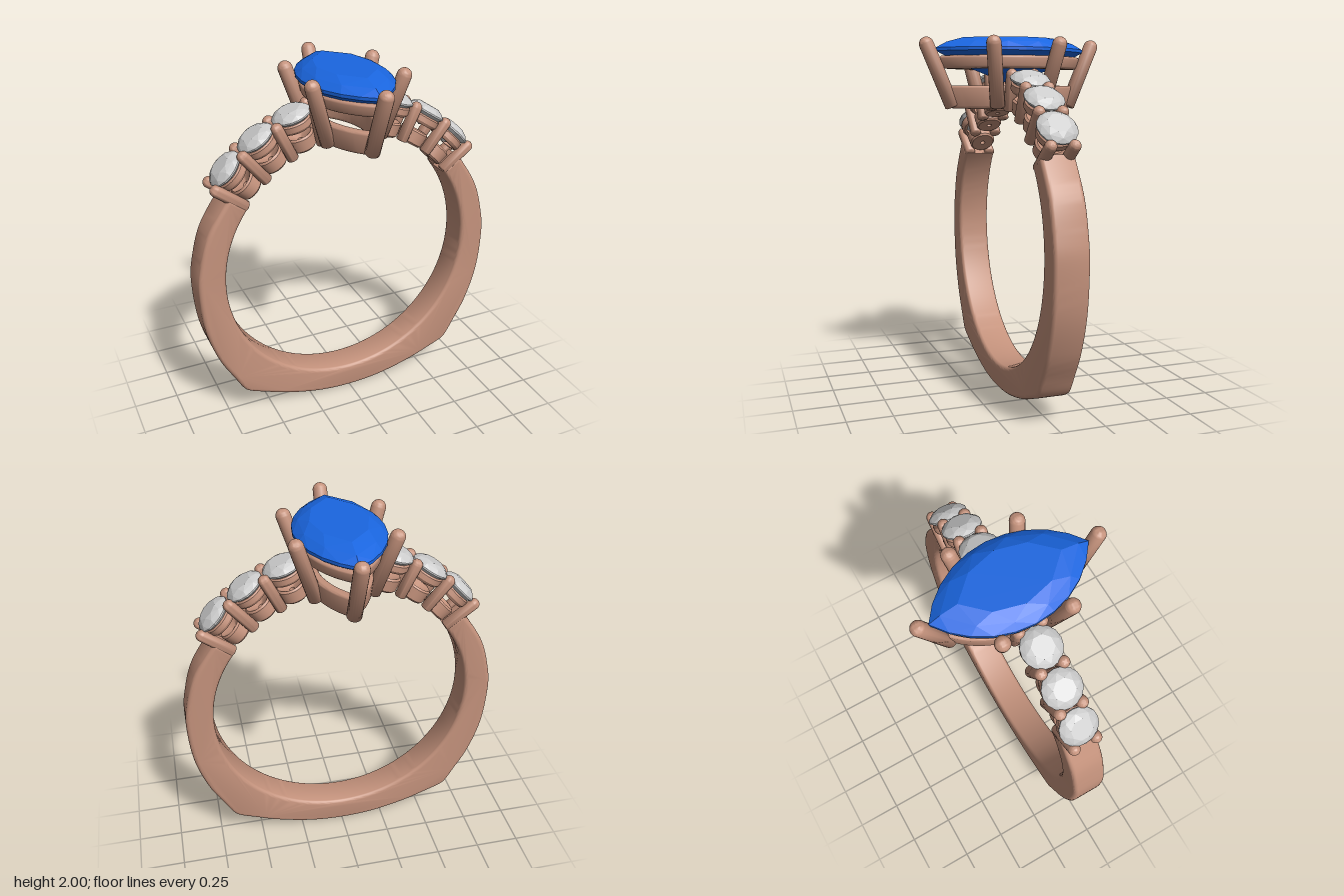
import * as THREE from 'three';
import { toCreasedNormals } from 'three/addons/utils/BufferGeometryUtils.js';
import { ConvexGeometry } from 'three/addons/geometries/ConvexGeometry.js';

const metal = new THREE.MeshStandardMaterial({ color: 0xc4927c });
const blue = new THREE.MeshStandardMaterial({ color: 0x1a66e0, flatShading: true });
const clear = new THREE.MeshStandardMaterial({ color: 0xcccccc, flatShading: true });

const CY = 0.885, INNER = 0.73, END = 37 * Math.PI / 180;
const V = (x, y, z) => new THREE.Vector3(x, y, z);

function add(parent, name, geometry, material) {
  const mesh = new THREE.Mesh(geometry, material);
  mesh.name = name;
  parent.add(mesh);
  return mesh;
}

// Straight wire with a domed tip at b
function prong(parent, name, a, b, r) {
  const h = a.distanceTo(b);
  const profile = [new THREE.Vector2(0, 0), new THREE.Vector2(r * 0.85, 0), new THREE.Vector2(r, r * 0.15)];
  for (let i = 0; i <= 8; i++) {
    const t = i / 8 * Math.PI / 2;
    profile.push(new THREE.Vector2(r * Math.cos(t), h + r * Math.sin(t)));
  }
  const mesh = add(parent, name, toCreasedNormals(new THREE.LatheGeometry(profile, 20), 0.9), metal);
  mesh.position.copy(a);
  mesh.quaternion.setFromUnitVectors(V(0, 1, 0), b.clone().sub(a).normalize());
}

// Pointed oval outline made of two arcs, half width w and half length l
function marquise(w, l, n) {
  const R = (l * l + w * w) / (2 * w), half = Math.asin(l / R), pts = [];
  for (const s of [1, -1]) {
    for (let i = 0; i < n; i++) {
      const t = -half + 2 * half * i / n;
      pts.push(new THREE.Vector2(s * (R * Math.cos(t) - (R - w)), s * R * Math.sin(t)));
    }
  }
  return pts;
}

// Pointed oval rail with an opening, flaring outward toward the top
function rail(parent, name, w, l, wall, y0, y1, flare) {
  const bevel = 0.015, h = y1 - y0;
  const shape = new THREE.Shape(marquise(w, l, 28));
  shape.holes.push(new THREE.Path(marquise(w - wall, l - wall * 1.5, 28)));
  const geo = new THREE.ExtrudeGeometry(shape, {
    depth: h - 2 * bevel, bevelEnabled: true, bevelSize: bevel,
    bevelThickness: bevel, bevelOffset: -bevel, bevelSegments: 3,
  });
  geo.rotateX(-Math.PI / 2);
  geo.translate(0, y0 + bevel, 0);
  const p = geo.attributes.position;
  for (let i = 0; i < p.count; i++) {
    const s = 1 + flare * (p.getY(i) - y0) / h;
    p.setX(i, p.getX(i) * s);
    p.setZ(i, p.getZ(i) * s);
  }
  add(parent, name, toCreasedNormals(geo, 0.7), metal);
}

// Shank: round inside, squared-off base outside, open at the top
function shank(parent) {
  const side = [[0.687, 1.403], [0.81, 1.21], [0.868, 1.02], [0.885, 0.87], [0.865, 0.63], [0.8, 0.42],
    [0.72, 0.27], [0.672, 0.187], [0.635, 0.155], [0.55, 0.12], [0.4, 0.065], [0.2, 0.018]];
  const pts = [...side, [0, 0.003], ...side.slice().reverse().map(([x, y]) => [-x, y])]
    .map(([x, y]) => new THREE.Vector2(x, y));
  const outline = new THREE.SplineCurve(pts).getPoints(160);
  for (let i = 0; i <= 120; i++) {
    const a = Math.PI - END + (Math.PI + 2 * END) * i / 120;
    outline.push(new THREE.Vector2(INNER * Math.cos(a), CY + INNER * Math.sin(a)));
  }
  const geo = new THREE.ExtrudeGeometry(new THREE.Shape(outline), {
    depth: 0.14, bevelEnabled: true, bevelSize: 0.025, bevelThickness: 0.025, bevelOffset: -0.025, bevelSegments: 5,
  });
  geo.translate(0, 0, -0.07);
  add(parent, 'shank', toCreasedNormals(geo, 0.6), metal);
}

// Round cut stone with its girdle at y = 0
function roundStone() {
  const pts = [];
  const ring = (n, r, y, turn) => {
    for (let i = 0; i < n; i++) {
      const a = (i + turn) / n * Math.PI * 2;
      pts.push(V(r * Math.cos(a), y, r * Math.sin(a)));
    }
  };
  ring(8, 0.06, 0.036, 0.5);
  ring(8, 0.089, 0.022, 0);
  ring(16, 0.108, 0.002, 0);
  ring(16, 0.108, -0.006, 0);
  ring(8, 0.055, -0.05, 0.5);
  pts.push(V(0, -0.085, 0));
  return new ConvexGeometry(pts);
}

// Marquise cut stone in world position
function centreStone() {
  const pts = [];
  const ring = (s, y, n) => marquise(0.24 * s, 0.43 * s, n).forEach(p => pts.push(V(p.x, y, p.y)));
  ring(0.64, 2.0, 4);
  ring(0.86, 1.974, 5);
  ring(1, 1.942, 10);
  ring(1, 1.925, 10);
  ring(0.6, 1.84, 5);
  pts.push(V(0, 1.76, 0.04), V(0, 1.76, -0.04));
  return new ConvexGeometry(pts);
}

// Drilled cup: closed profile revolved
function cup(parent, name, profile) {
  const pts = [...profile, profile[0]].map(([r, y]) => new THREE.Vector2(r, y));
  add(parent, name, toCreasedNormals(new THREE.LatheGeometry(pts, 32), 0.5), metal);
}

export function createModel() {
  const ring = new THREE.Group();
  ring.name = 'ring';
  shank(ring);

  // Shoulders: three stones each side, sharing pairs of prongs
  const STEP = 13.7 * Math.PI / 180;
  const stoneGeo = roundStone();
  for (const s of [1, -1]) {
    const shoulder = new THREE.Group();
    shoulder.name = s > 0 ? 'leftShoulder' : 'rightShoulder';
    ring.add(shoulder);
    for (let i = 0; i < 4; i++) {
      const a = END + i * STEP;
      for (const z of [0.063, -0.063]) {
        const at = r => V(s * r * Math.cos(a), CY + r * Math.sin(a), z);
        prong(shoulder, 'sidePronge'.slice(0, -1), at(0.735), at(0.932), 0.032);
      }
      if (i === 3) continue;
      const b = a + STEP / 2;
      const setting = new THREE.Group();
      setting.name = 'sideSetting';
      setting.position.set(s * 0.935 * Math.cos(b), CY + 0.935 * Math.sin(b), 0);
      setting.rotation.z = s * (b - Math.PI / 2);
      shoulder.add(setting);
      add(setting, 'sideStone', stoneGeo, clear);
      cup(setting, 'upperCollar', [[0.072, -0.075], [0.088, -0.075], [0.098, -0.06], [0.098, -0.03], [0.09, -0.022], [0.08, -0.022]]);
      cup(setting, 'lowerCollar', [[0.014, -0.2], [0.066, -0.2], [0.075, -0.19], [0.08, -0.125], [0.07, -0.115], [0.014, -0.15]]);
    }
  }

  // Head: two rails, six prongs and the centre stone
  const head = new THREE.Group();
  head.name = 'head';
  ring.add(head);
  add(head, 'centreStone', centreStone(), blue);
  rail(head, 'upperRail', 0.21, 0.39, 0.05, 1.83, 1.9, 0.06);
  rail(head, 'lowerRail', 0.16, 0.35, 0.05, 1.615, 1.74, 0.08);
  for (const sz of [1, -1]) {
    prong(head, 'endProng', V(0, 1.625, sz * 0.34), V(0, 1.958, sz * 0.481), 0.04);
    for (const sx of [1, -1]) {
      prong(head, 'sideProng', V(sx * 0.15, 1.625, sz * 0.13), V(sx * 0.255, 1.958, sz * 0.185), 0.04);
    }
  }
  return ring;
}
